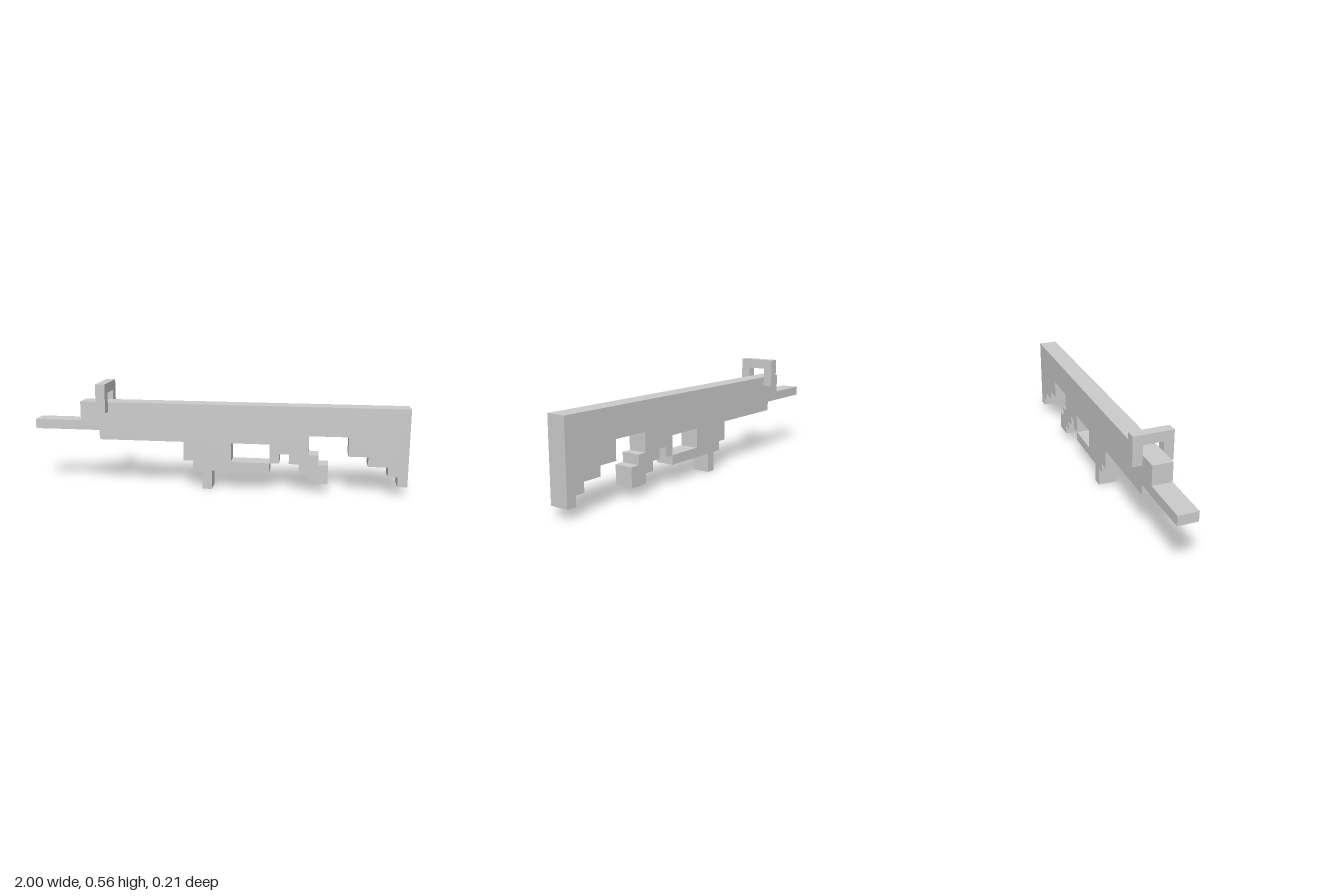
import * as THREE from 'three';

const U = 2 / 39; // one block
const material = new THREE.MeshStandardMaterial({ color: 0xcccccc, flatShading: true });

// Extrudes a block-grid outline, centred on its own depth
function slab(name, points, depth) {
  const shape = new THREE.Shape(points.map(([x, y]) => new THREE.Vector2(x * U, y * U)));
  const geometry = new THREE.ExtrudeGeometry(shape, { depth: depth * U, bevelEnabled: false });
  geometry.translate(0, 0, -depth * U / 2);
  const mesh = new THREE.Mesh(geometry, material);
  mesh.name = name;
  return mesh;
}

export function createModel() {
  const model = new THREE.Group();
  model.name = 'blockRifle';

  // Stepped silhouette, traced anticlockwise from the muzzle
  const body = slab('body', [
    [0, 6], [7, 6], [7, 5], [16, 5],                            // barrel and fore-end
    [16, 3], [17, 3], [17, 2], [18, 2], [18, 0], [19, 0],       // front grip
    [19, 2], [25, 2], [25, 3], [21, 3], [21, 5], [25, 5],       // guard bar and opening
    [25, 3], [26, 3], [26, 4], [27, 4], [27, 3], [28, 3],       // stepped rear grip
    [28, 2], [29, 2], [29, 1], [31, 1], [31, 3], [30, 3], [30, 4], [29, 4],
    [29, 6], [33, 6], [33, 4], [35, 4], [35, 3], [37, 3],       // stepped stock
    [37, 2], [38, 2], [38, 1], [39, 1],
    [39, 9], [5, 9], [5, 7], [0, 7],                            // top edge
  ], 2);
  body.position.x = -1;
  model.add(body);

  // Arched sight straddling the body
  const sight = slab('sight', [
    [-2, 8], [-1, 8], [-1, 10], [1, 10], [1, 8], [2, 8], [2, 11], [-2, 11],
  ], 1);
  sight.rotation.y = Math.PI / 2;
  sight.position.x = -1 + 7.5 * U;
  model.add(sight);

  return model;
}
